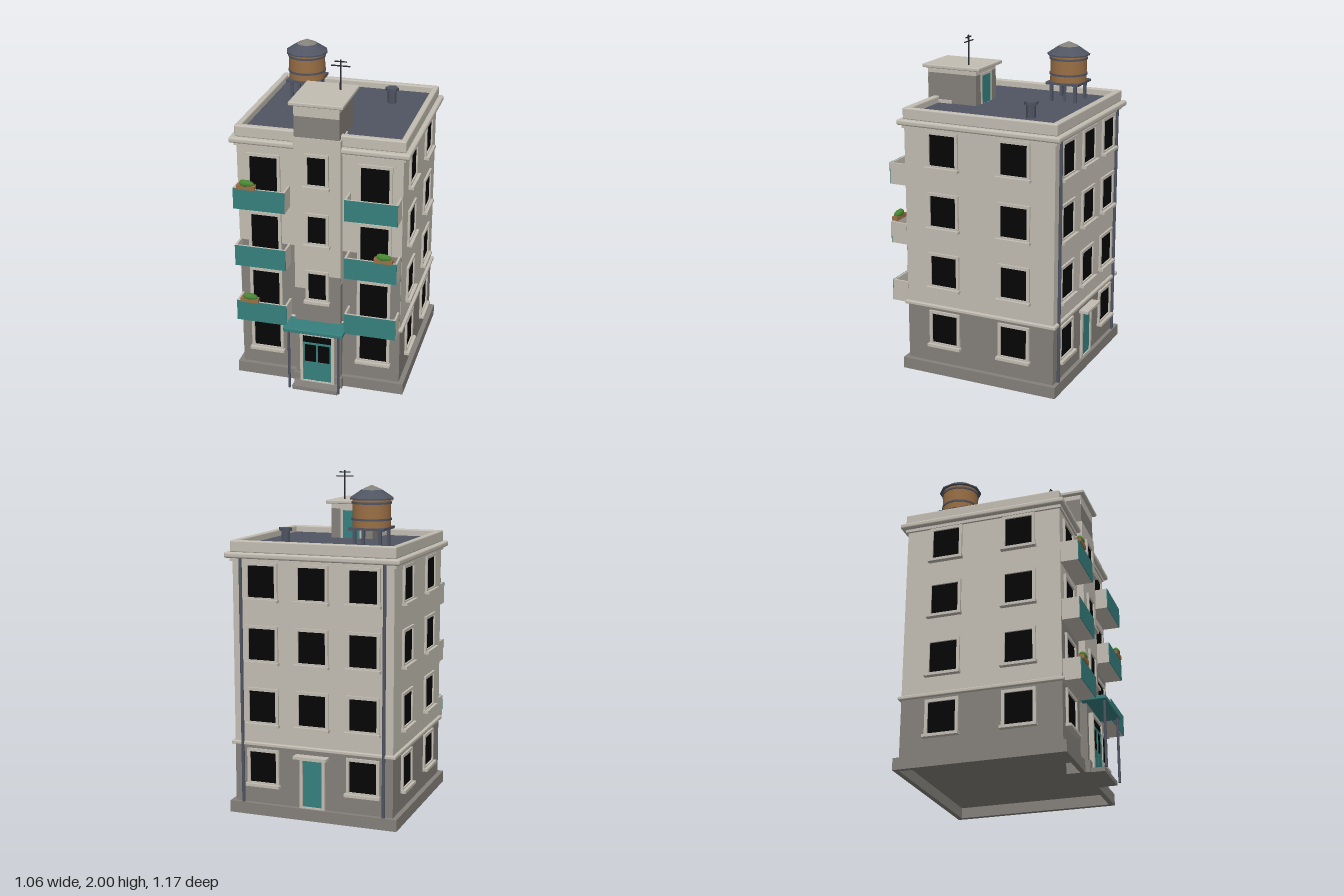
import * as THREE from 'three';
import { RoundedBoxGeometry } from 'three/addons/geometries/RoundedBoxGeometry.js';

const mat = (name, color) => {
  const m = new THREE.MeshStandardMaterial({ color });
  m.name = name;
  return m;
};

export function createModel() {
  const M = {
    plaster: mat('light plaster', 0xc2bdb2),
    stone: mat('dark stone', 0x84807a),
    slate: mat('roof slate', 0x505563),
    metal: mat('dark metal', 0x2a2c33),
    teal: mat('teal paint', 0x36807e),
    glass: mat('dark glass', 0x050506),
    wood: mat('wood', 0x9a6f45),
    leaf: mat('leaf green', 0x478433),
  };
  M.leaf.flatShading = true;
  const model = new THREE.Group();
  model.name = 'apartmentBlock';

  const add = (parent, name, geo, m, x = 0, y = 0, z = 0) => {
    const mesh = new THREE.Mesh(geo, m);
    mesh.name = name;
    mesh.position.set(x, y, z);
    parent.add(mesh);
    return mesh;
  };
  // Box given by its limits, optionally with softened edges
  const box = (parent, name, m, x0, x1, y0, y1, z0, z1, r = 0) => {
    const s = [x1 - x0, y1 - y0, z1 - z0];
    const geo = r ? new RoundedBoxGeometry(...s, 2, r) : new THREE.BoxGeometry(...s);
    return add(parent, name, geo, m, (x0 + x1) / 2, (y0 + y1) / 2, (z0 + z1) / 2);
  };
  // Upright round part; a vertex lies on the x axis
  const rod = (parent, name, m, x, y0, y1, z, r, n = 8, rTop = r) =>
    add(parent, name, new THREE.CylinderGeometry(rTop, r, y1 - y0, n, 1, false, Math.PI / 2), m, x, (y0 + y1) / 2, z);
  const group = (name, x = 0, y = 0, z = 0, ry = 0) => {
    const g = new THREE.Group();
    g.name = name;
    g.position.set(x, y, z);
    g.rotation.y = ry;
    model.add(g);
    return g;
  };
  // Upright rectangular frame with an opening, back on local z = 0
  const frame = (parent, w, h, t, d) => {
    const rect = (P, a, b) => new P([[-a, -b], [a, -b], [a, b], [-a, b]].map(p => new THREE.Vector2(...p)));
    const s = rect(THREE.Shape, w / 2 + t, h / 2 + t);
    s.holes.push(rect(THREE.Path, w / 2, h / 2));
    return add(parent, 'frame', new THREE.ExtrudeGeometry(s, { depth: d, bevelEnabled: false }), M.plaster);
  };
  const addWindow = (x, y, z, ry, w, h, sill = true) => {
    const g = group('window', x, y, z, ry);
    box(g, 'glass', M.glass, -w / 2, w / 2, -h / 2, h / 2, -0.003, 0.003);
    frame(g, w, h, 0.018, 0.013);
    if (sill) box(g, 'sill', M.plaster, -w / 2 - 0.025, w / 2 + 0.025, -h / 2 - 0.025, -h / 2 - 0.008, 0, 0.032);
  };

  // Main block, open under the plinth up to the ground floor
  const FRONT = 0.423, BACK = -0.53, SIDE = 0.49, ROOF = 1.59;
  for (const s of [-1, 1]) {
    box(model, 'plinthSide', M.stone, s * 0.505 - 0.015, s * 0.505 + 0.015, 0, 0.07, -0.555, 0.45);
    const z = s > 0 ? 0.435 : -0.54;
    box(model, 'plinthEnd', M.stone, -0.49, 0.49, 0, 0.07, z - 0.015, z + 0.015);
  }
  box(model, 'groundFloor', M.stone, -SIDE, SIDE, 0.065, 0.43, BACK, FRONT);
  box(model, 'upperFloors', M.plaster, -SIDE, SIDE, 0.43, 1.56, BACK, FRONT);
  box(model, 'stringCourse', M.plaster, -0.508, 0.508, 0.42, 0.442, -0.547, 0.437, 0.006);
  box(model, 'corniceLip', M.plaster, -0.503, 0.503, 1.51, 1.535, -0.543, 0.433);
  box(model, 'cornice', M.plaster, -0.53, 0.53, 1.529, 1.563, -0.57, 0.455, 0.012);
  box(model, 'roofDeck', M.slate, -0.475, 0.475, 1.56, ROOF, -0.515, 0.395);
  for (const s of [-1, 1]) {
    box(model, 'parapetSide', M.plaster, s * 0.484 - 0.018, s * 0.484 + 0.018, 1.56, 1.63, -0.544, 0.427, 0.009);
    const z = s > 0 ? 0.407 : -0.524;
    box(model, 'parapetEnd', M.plaster, -0.502, 0.502, 1.56, 1.63, z - 0.02, z + 0.02, 0.009);
    // Worn plaster on the front wings
    box(model, 'wornWing', M.stone, s * 0.314 - 0.174, s * 0.314 + 0.174, 0.442, 0.91, 0.418, 0.425);
  }

  // Stair tower and roof house
  const TZ = 0.465;
  box(model, 'towerPlinth', M.stone, -0.15, 0.15, 0, 0.07, 0.34, 0.48);
  box(model, 'towerBase', M.stone, -0.14, 0.138, 0.07, 0.7, 0.3, TZ);
  box(model, 'towerShaft', M.plaster, -0.14, 0.138, 0.7, 1.61, 0.3, TZ);
  box(model, 'wornPatch', M.stone, 0.066, 0.138, 0.7, 0.75, TZ - 0.005, TZ + 0.001);
  box(model, 'plasterPatch', M.plaster, -0.14, -0.072, 0.655, 0.7, TZ - 0.005, TZ + 0.001);
  box(model, 'roofHouse', M.stone, -0.135, 0.13, 1.58, 1.77, 0.138, 0.46);
  box(model, 'roofHouseTop', M.plaster, -0.135, 0.13, 1.77, 1.803, 0.138, 0.46);
  box(model, 'roofHouseFrontBand', M.plaster, -0.135, 0.13, 1.735, 1.77, 0.456, 0.461);
  box(model, 'roofHouseSlab', M.plaster, -0.16, 0.156, 1.8, 1.822, 0.106, 0.485, 0.006);
  const hatch = group('roofDoor', 0, 1.675, 0.138, Math.PI);
  box(hatch, 'doorLeaf', M.teal, -0.055, 0.055, -0.085, 0.085, -0.003, 0.004);
  frame(hatch, 0.11, 0.17, 0.014, 0.006);

  // Windows on the sides, back, front wings and tower
  const levels = [0.292, 0.66, 1.03, 1.397];
  levels.forEach((y, i) => {
    for (const s of [-1, 1]) {
      for (const z of [0.174, -0.28]) addWindow(s * SIDE, y, z, s * Math.PI / 2, 0.165, 0.185);
      if (i) addWindow(s * 0.33, y - 0.07, FRONT + 0.002, 0, 0.165, 0.255, false);
      else addWindow(s * 0.33, y, FRONT, 0, 0.165, 0.185);
    }
    for (const x of [-0.31, 0, 0.31]) if (i || x) addWindow(x, y, BACK, Math.PI, 0.165, 0.185);
    if (i) addWindow(-0.002, y + 0.018, TZ, 0, 0.107, 0.17);
  });

  // Balconies with painted fronts
  [0.422, 0.79, 1.157].forEach((y, i) => {
    for (const s of [-1, 1]) {
      const g = group('balcony', s * 0.33, y, 0);
      const w = 0.155, h = 0.13;
      box(g, 'floor', M.plaster, -w, w, 0, 0.02, 0.41, 0.528);
      for (const e of [-1, 1]) box(g, 'sideWall', M.plaster, e * (w - 0.006) - 0.006, e * (w - 0.006) + 0.006, 0, h, 0.41, 0.528);
      box(g, 'frontWall', M.plaster, -w, w, 0, h, 0.516, 0.528);
      box(g, 'paintedFront', M.teal, -w, w, 0, h, 0.528, 0.532);
      if ((i === 1) === (s > 0)) {
        // Flower box on the rail
        const p = group('flowerBox', s * 0.405, y + h, 0.522);
        box(p, 'trough', M.wood, -0.055, 0.055, -0.002, 0.024, -0.016, 0.018);
        [[0, 0.032, 0.042], [-0.018, 0.036, 0.024], [0.026, 0.03, 0.022]].forEach(([x, py, r]) => {
          add(p, 'bush', new THREE.IcosahedronGeometry(r, 1), M.leaf, x, py, 0.001).scale.set(1, r > 0.03 ? 0.5 : 0.75, r > 0.03 ? 0.55 : 0.8);
        });
      }
    }
  });

  // Entrance: step, double door, canopy on posts
  box(model, 'entranceStep', M.stone, -0.14, 0.14, 0, 0.025, 0.47, 0.56);
  const door = group('entranceDoor', -0.002, 0.19, TZ);
  box(door, 'doorGlass', M.glass, -0.088, 0.088, -0.16, 0.155, 0, 0.018);
  frame(door, 0.176, 0.315, 0.018, 0.028);
  box(door, 'transomBar', M.teal, -0.088, 0.088, 0.095, 0.107, 0.018, 0.024);
  for (const s of [-1, 1]) {
    box(door, 'doorPanel', M.teal, s * 0.045 - 0.041, s * 0.045 + 0.041, -0.155, -0.027, 0.018, 0.023);
    box(door, 'doorStile', M.teal, s * 0.083 - 0.005, s * 0.083 + 0.005, -0.155, 0.1, 0.018, 0.024);
    rod(model, 'canopyPost', M.slate, s * 0.152, 0.02, 0.42, 0.572, 0.008);
  }
  box(door, 'doorMullion', M.teal, -0.005, 0.005, -0.155, 0.1, 0.018, 0.025);
  box(model, 'canopy', M.teal, -0.182, 0.18, 0.413, 0.438, 0.44, 0.587, 0.005);

  // Back door with hood
  const rear = group('backDoor', 0, 0.22, BACK, Math.PI);
  box(rear, 'doorLeaf', M.teal, -0.06, 0.06, -0.14, 0.14, -0.003, 0.005);
  frame(rear, 0.12, 0.28, 0.018, 0.014);
  box(rear, 'hood', M.plaster, -0.103, 0.103, 0.157, 0.173, 0, 0.058);

  // Drainpipes
  for (const s of [-1, 1]) rod(model, 'drainpipe', M.slate, s * 0.437, 0.06, 1.53, -0.542, 0.01);

  // Water tank
  const tank = group('waterTank', -0.272, 0, -0.283);
  for (const x of [-0.077, 0.077]) for (const z of [-0.077, 0.077]) box(tank, 'leg', M.slate, x - 0.009, x + 0.009, ROOF, 1.7, z - 0.009, z + 0.009);
  rod(tank, 'downPipe', M.slate, 0.052, ROOF, 1.7, 0, 0.009);
  box(tank, 'platform', M.slate, -0.105, 0.105, 1.695, 1.71, -0.105, 0.105);
  rod(tank, 'barrel', M.wood, 0, 1.71, 1.87, 0, 0.11, 20);
  for (const y of [1.755, 1.848]) rod(tank, 'hoop', M.slate, 0, y - 0.006, y + 0.006, 0, 0.115, 20);
  rod(tank, 'lidRim', M.slate, 0, 1.867, 1.875, 0, 0.129, 10);
  rod(tank, 'lid', M.slate, 0, 1.875, 1.92, 0, 0.129, 10, 0.061);
  rod(tank, 'lidCap', M.stone, 0, 1.92, 1.946, 0, 0.061, 16, 0.002);

  // Roof vent
  const vent = group('roofVent', 0.262, 0, -0.278);
  rod(vent, 'ventPipe', M.slate, 0, ROOF, 1.668, 0, 0.028, 6);
  rod(vent, 'ventCap', M.slate, 0, 1.668, 1.686, 0, 0.041, 6);

  // Aerial
  const aerial = group('aerial', 0.071, 0, 0.215);
  rod(aerial, 'mast', M.metal, 0, 1.82, 2, 0, 0.005, 6);
  box(aerial, 'longBar', M.metal, -0.055, 0.055, 1.96, 1.966, -0.003, 0.003);
  box(aerial, 'shortBar', M.metal, -0.035, 0.035, 1.985, 1.991, -0.003, 0.003);
  return model;
}
